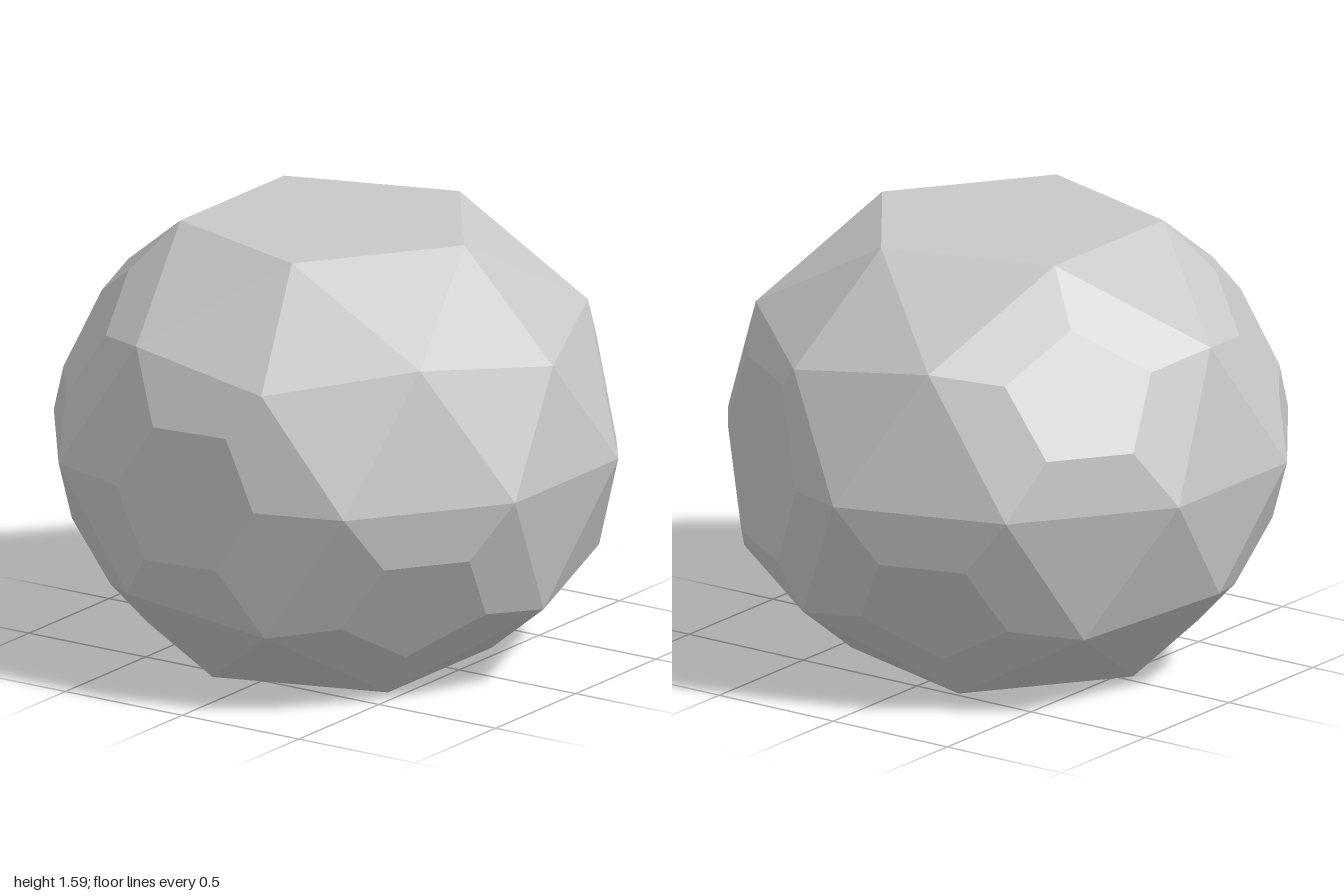
import * as THREE from 'three';
import { ConvexGeometry } from 'three/addons/geometries/ConvexGeometry.js';

const CENTRE_Y = 0.795;
const CENTRE_Z = 0.04;
const SQUASH = 0.893;
const DEG = Math.PI / 180;

// a point on a horizontal ring, angle measured from +x towards +z
function ringPoint(radius, y, angle) {
  return new THREE.Vector3(
    radius * Math.cos(angle * DEG), y, radius * Math.sin(angle * DEG) + CENTRE_Z);
}

// rings of corners: radius, height, first angle, count
const RINGS = {
  top: [0.55, 1.59, 0, 5],
  upper: [0.89, 1.287, 36, 5],
  upperPeak: [0.93, 1.21, 0, 5],
  equator: [1.04, CENTRE_Y, 18, 10],
  lowerPeak: [0.93, 0.38, 36, 5],
  lower: [0.89, 0.303, 0, 5],
  bottom: [0.55, 0, 36, 5],
};

// corners sliced flat: ring, angle, slice depth as a share of the longest drop to a neighbour
const CUTS = [
  ['equator', 90, 0.48],
  ['equator', 306, 0.65],
  ['upperPeak', 144, 0.5],
  ['upperPeak', 216, 0.5],
  ['lowerPeak', 36, 0.5],
  ['lowerPeak', 252, 0.5],
  ['lower', 144, 0.48],
];

// points where the edges leaving a corner meet one flat slice
function slicePoints(corner, neighbours, share) {
  const normal = new THREE.Vector3(
    corner.x, (corner.y - CENTRE_Y) / SQUASH ** 2, corner.z - CENTRE_Z).normalize();
  const drops = neighbours.map((n) => corner.clone().sub(n).dot(normal));
  const depth = share * Math.max(...drops);
  return neighbours.map((n, i) => corner.clone().lerp(n, Math.min(depth / drops[i], 0.9)));
}

function bodyPoints() {
  const corners = [];
  for (const [ring, [radius, y, start, count]] of Object.entries(RINGS)) {
    for (let i = 0; i < count; i++) {
      const angle = start + (i * 360) / count;
      const cut = CUTS.find((c) => c[0] === ring && c[1] === angle);
      corners.push({ p: ringPoint(radius, y, angle), share: cut ? cut[2] : 0 });
    }
  }
  return corners.flatMap(({ p, share }) => {
    if (!share) return [p];
    const near = corners.map((c) => c.p).filter((q) => q !== p && q.distanceTo(p) < 0.78);
    return slicePoints(p, near, share);
  });
}

// faceted shell with the flat underside left out
function shellGeometry() {
  const hull = new ConvexGeometry(bodyPoints()).getAttribute('position');
  const kept = [];
  for (let i = 0; i < hull.count; i += 3) {
    if ([0, 1, 2].every((k) => hull.getY(i + k) < 0.001)) continue;
    for (let k = 0; k < 3; k++) kept.push(hull.getX(i + k), hull.getY(i + k), hull.getZ(i + k));
  }
  return flatGeometry(kept);
}

// off-centre hollow closing the underside
function hollowGeometry() {
  const [radius, y, start] = RINGS.bottom;
  const apex = ringPoint(0.217, 0.2, 93);
  const values = [];
  for (let i = 0; i < 5; i++) {
    const a = ringPoint(radius, y, start + i * 72);
    const b = ringPoint(radius, y, start + (i + 1) * 72);
    for (const p of [apex, a, b]) values.push(p.x, p.y, p.z);
  }
  return flatGeometry(values);
}

function flatGeometry(values) {
  const geometry = new THREE.BufferGeometry();
  geometry.setAttribute('position', new THREE.Float32BufferAttribute(values, 3));
  geometry.computeVertexNormals();
  return geometry;
}

export function createModel() {
  const stone = new THREE.MeshStandardMaterial({ color: 0xc8c8c8 });
  stone.name = 'paleStoneGrey';

  const group = new THREE.Group();
  group.name = 'boulder';
  const parts = { facetedShell: shellGeometry(), undersideHollow: hollowGeometry() };
  for (const [name, geometry] of Object.entries(parts)) {
    const mesh = new THREE.Mesh(geometry, stone);
    mesh.name = name;
    group.add(mesh);
  }
  return group;
}
